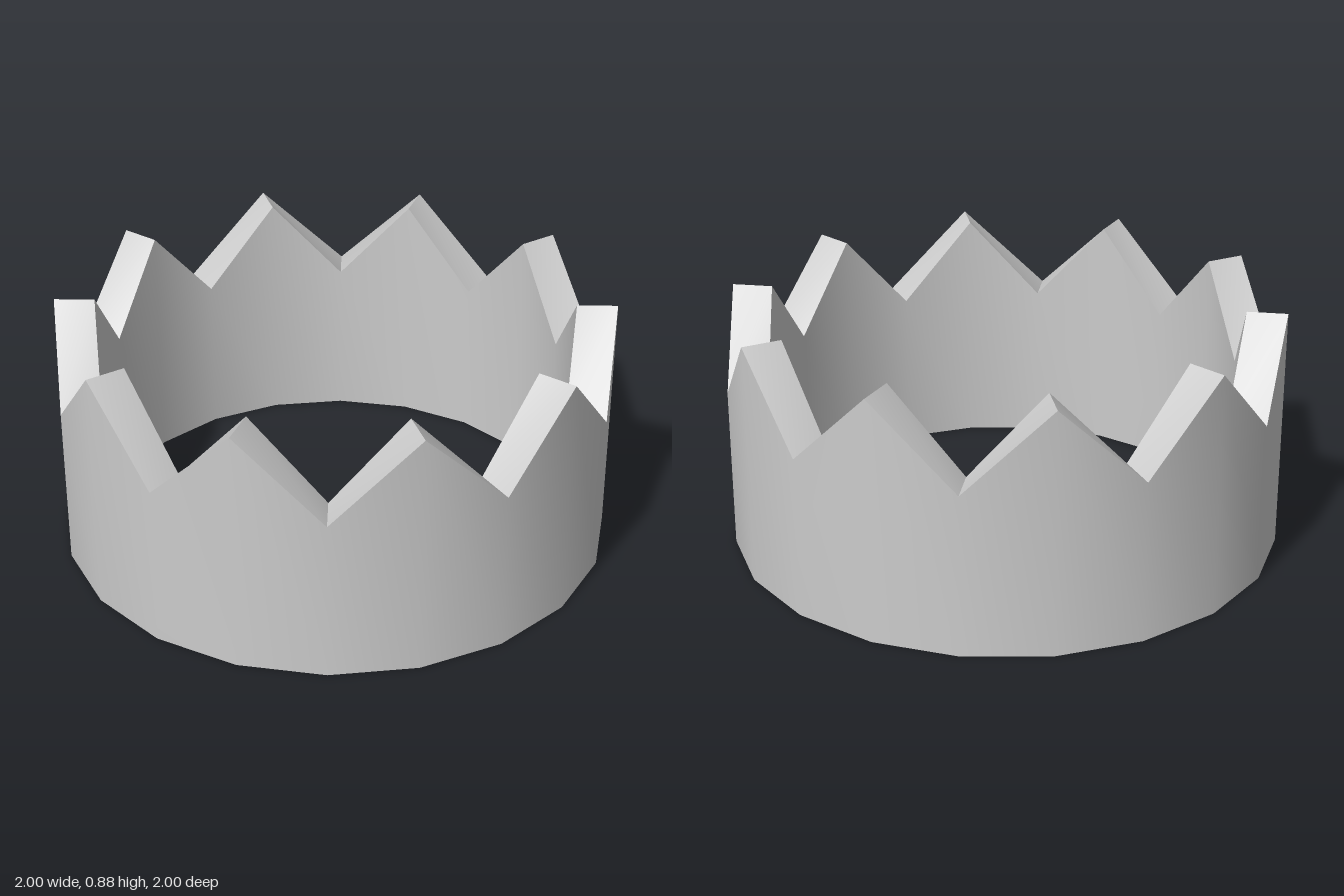
import * as THREE from 'three';
import { toCreasedNormals } from 'three/addons/utils/BufferGeometryUtils.js';

const SIDES = 20; // two sides per point of the crown
const OUTER = 1, INNER = 0.855;
const PEAK = 0.885, VALLEY = 0.588;

export function createModel() {
  const group = new THREE.Group();
  group.name = 'crown';

  // Closed wall section, turned into a 20-sided ring
  const section = [
    [INNER, 0], [OUTER, 0], [OUTER, PEAK], [INNER, PEAK], [INNER, 0],
  ].map(([r, y]) => new THREE.Vector2(r, y));
  const ring = new THREE.LatheGeometry(section, SIDES);

  // Lower every second corner of the rim to form the zigzag points
  const pos = ring.attributes.position;
  for (let i = 0; i < pos.count; i++) {
    if (pos.getY(i) < 0.1) continue;
    const corner = Math.round(Math.atan2(pos.getX(i), pos.getZ(i)) / (2 * Math.PI / SIDES));
    if (corner % 2 !== 0) pos.setY(i, VALLEY);
  }

  // Smooth around the walls, sharp at the rim and base
  const band = new THREE.Mesh(
    toCreasedNormals(ring, Math.PI / 6),
    new THREE.MeshStandardMaterial({ color: 0xcccccc }),
  );
  band.name = 'crownBand';
  group.add(band);
  return group;
}
